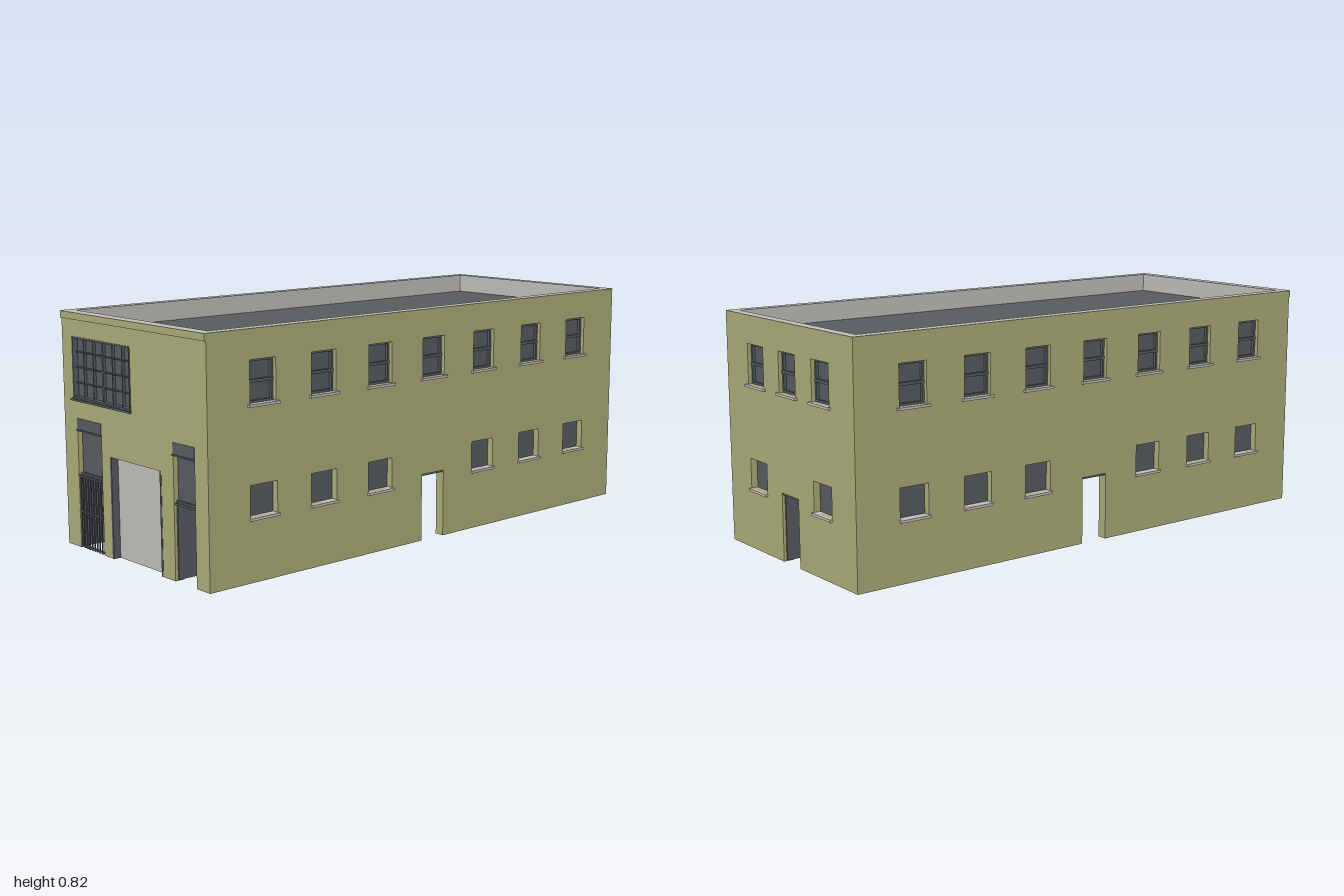
import * as THREE from 'three';

const mat = (name, color) => {
  const m = new THREE.MeshStandardMaterial({ color });
  m.name = name;
  return m;
};

export function createModel() {
  const olive = mat('olive render', 0xa9ab78);
  const stone = mat('pale stone', 0xbfbdb9);
  const slate = mat('slate grey', 0x575b5f);

  const X = 0.41, Z = 0.99, H = 0.825, T = 0.035;
  const model = new THREE.Group();
  model.name = 'building';

  const add = (parent, name, geo, material) => {
    const m = new THREE.Mesh(geo, material);
    m.name = name;
    parent.add(m);
    return m;
  };
  // Box given by its limits on each axis
  const box = (parent, name, material, x0, x1, y0, y1, z0, z1) => {
    const m = add(parent, name, new THREE.BoxGeometry(x1 - x0, y1 - y0, z1 - z0), material);
    m.position.set((x0 + x1) / 2, (y0 + y1) / 2, (z0 + z1) / 2);
    return m;
  };
  const rectPath = (P, x0, x1, y0, y1) => {
    const p = new P();
    p.moveTo(x0, y0).lineTo(x1, y0).lineTo(x1, y1).lineTo(x0, y1).closePath();
    return p;
  };

  // One wall, outer face at local z = 0; openings are [x0, x1, y0, y1].
  // Openings reaching the ground become notches in the outline.
  function wall(name, halfWidth, openings, turn, distance) {
    const g = new THREE.Group();
    g.name = name;
    const s = new THREE.Shape();
    s.moveTo(-halfWidth, 0);
    openings.filter(o => o[2] === 0).sort((a, b) => a[0] - b[0]).forEach(([x0, x1, , y1]) => {
      s.lineTo(x0, 0).lineTo(x0, y1).lineTo(x1, y1).lineTo(x1, 0);
    });
    s.lineTo(halfWidth, 0).lineTo(halfWidth, H - 0.001).lineTo(-halfWidth, H - 0.001).closePath();
    openings.filter(o => o[2] > 0).forEach(o => s.holes.push(rectPath(THREE.Path, ...o)));
    add(g, 'outerWall', new THREE.ExtrudeGeometry(s, { depth: T, bevelEnabled: false }), olive).position.z = -T;
    // Inner lining, facing into the building
    const lining = add(g, 'innerLining', new THREE.PlaneGeometry(halfWidth * 2, H), stone);
    lining.rotation.y = Math.PI;
    lining.position.set(0, H / 2, -T - 0.001);
    g.rotation.y = turn;
    g.position.set(Math.sin(turn) * distance, 0, Math.cos(turn) * distance);
    model.add(g);
    return g;
  }

  // Frame of four bars inside an opening
  function frame(g, [x0, x1, y0, y1], b, z0, z1) {
    box(g, 'frameLeft', slate, x0, x0 + b, y0, y1, z0, z1);
    box(g, 'frameRight', slate, x1 - b, x1, y0, y1, z0, z1);
    box(g, 'frameTop', slate, x0 + b, x1 - b, y1 - b, y1, z0, z1);
    box(g, 'frameBottom', slate, x0 + b, x1 - b, y0, y0 + b, z0, z1);
  }
  const glass = (g, [x0, x1, y0, y1], z) => box(g, 'windowGlass', slate, x0, x1, y0, y1, z - 0.004, z);

  function sashWindow(g, o, upper) {
    const [x0, x1, y0, y1] = o, over = upper ? 0.01 : 0.003;
    glass(g, o, -0.024);
    if (upper) {
      const mid = (y0 + y1) / 2;
      frame(g, o, 0.008, -0.024, -0.014);
      box(g, 'meetingRail', slate, x0, x1, mid - 0.005, mid + 0.005, -0.024, -0.012);
    }
    box(g, 'windowSill', stone, x0 - over, x1 + over, y0 - 0.009, y0, -0.024, 0.01);
  }

  // Door standing open inward, hinged on the left seen from outside
  function openDoor(g, [x0, x1, , y1]) {
    box(g, 'doorLeaf', slate, x0 + 0.001, x0 + 0.006, 0.004, y1 - 0.008, -0.012 - (x1 - x0), -0.01);
    box(g, 'doorHead', slate, x0, x1, y1 - 0.007, y1, -T, -0.004);
  }

  const upperWindow = c => [c - 0.053, c + 0.053, 0.584, 0.725];
  const lowerWindow = c => [c - 0.056, c + 0.056, 0.216, 0.322];
  const sideDoor = [-0.054, 0.054, 0, 0.24];

  // Side and back walls: a row of sash windows above, windows and a door below
  function plainWall(name, half, centres, turn, distance) {
    const ups = centres.map(upperWindow);
    const lows = centres.filter(c => c !== 0).map(lowerWindow);
    const g = wall(name, half, [...ups, ...lows, sideDoor], turn, distance);
    ups.forEach(o => sashWindow(g, o, true));
    lows.forEach(o => sashWindow(g, o, false));
    openDoor(g, sideDoor);
  }
  const sideCentres = [-3, -2, -1, 0, 1, 2, 3].map(i => i * 0.256);
  plainWall('leftWall', Z, sideCentres, Math.PI / 2, X);
  plainWall('rightWall', Z, sideCentres, -Math.PI / 2, X);
  plainWall('backWall', X - T, [-0.21, 0, 0.21], Math.PI, Z);

  // Front wall
  const bigWindow = [-0.349, -0.003, 0.527, 0.741];
  const garage = [-0.134, 0.16, 0, 0.352];
  const entries = [[-0.33, -0.184, 0, 0.459], [0.227, 0.341, 0, 0.459]];
  const front = wall('frontWall', X - T, [bigWindow, garage, ...entries], 0, Z);

  // Wide gridded window
  glass(front, bigWindow, -0.018);
  frame(front, bigWindow, 0.006, -0.018, 0.002);
  for (let i = 1; i < 6; i++) {
    const x = -0.349 + i * 0.346 / 6, r = i === 3 ? 0.004 : 0.002;
    box(front, 'windowMullion', slate, x - r, x + r, 0.53, 0.738, -0.018, -0.008);
  }
  for (let j = 1; j < 4; j++) {
    const y = 0.527 + j * 0.0535;
    box(front, 'windowCrossbar', slate, -0.346, -0.006, y - 0.002, y + 0.002, -0.018, -0.009);
  }
  box(front, 'frontSill', slate, -0.353, 0.001, 0.52, 0.527, -0.018, 0.01);

  // Garage shutter between slim posts
  box(front, 'garageShutter', stone, -0.134, 0.16, 0, 0.352, -0.032, -0.026);
  box(front, 'garagePostRight', slate, -0.134, -0.126, 0, 0.352, -0.026, 0.001);
  box(front, 'garagePostLeft', slate, 0.152, 0.16, 0, 0.352, -0.026, 0.001);

  // Entrances with transom light, header box and open door
  entries.forEach(([x0, x1]) => {
    glass(front, [x0, x1, 0.262, 0.42], -0.018);
    box(front, 'transomRail', slate, x0, x1, 0.26, 0.267, -0.03, -0.01);
    box(front, 'headerBox', slate, x0, x1, 0.417, 0.459, -0.026, 0.002);
    box(front, 'headerLip', slate, x0, x1, 0.415, 0.42, -0.026, 0.005);
    openDoor(front, [x0, x1, 0, 0.26]);
    box(front, 'doorPushBar', slate, x0 + 0.006, x0 + 0.012, 0.1, 0.23, -0.09, -0.085);
  });

  // Barred gate
  const gate = new THREE.Group();
  gate.name = 'gate';
  front.add(gate);
  for (let i = 0; i < 10; i++) {
    const x = -0.327 + i * 0.0156;
    box(gate, 'gateBar', slate, x - 0.0018, x + 0.0018, 0, 0.258, -0.006, -0.002);
  }
  [0.008, 0.131, 0.256].forEach(y =>
    box(gate, 'gateRail', slate, -0.332, -0.183, y - 0.003, y + 0.003, -0.007, 0.002));

  // Band along the top of the front
  box(front, 'frontBand', olive, -X, X, 0.8, H - 0.001, 0, 0.006);

  // Parapet coping
  const ring = rectPath(THREE.Shape, -X, X, -Z - 0.006, Z);
  ring.holes.push(rectPath(THREE.Path, -X + T + 0.001, X - T - 0.001, -Z + T + 0.001, Z - T - 0.001));
  const coping = add(model, 'parapetCoping', new THREE.ShapeGeometry(ring), stone);
  coping.rotation.x = -Math.PI / 2;
  coping.position.y = H;

  // Flat roof and the ceiling below it
  const flat = () => new THREE.PlaneGeometry(2 * (X - T), 2 * (Z - T));
  const roof = add(model, 'roof', flat(), slate);
  roof.rotation.x = -Math.PI / 2;
  roof.position.y = 0.757;
  const ceiling = add(model, 'ceiling', flat(), stone);
  ceiling.rotation.x = Math.PI / 2;
  ceiling.position.y = 0.745;

  return model;
}
